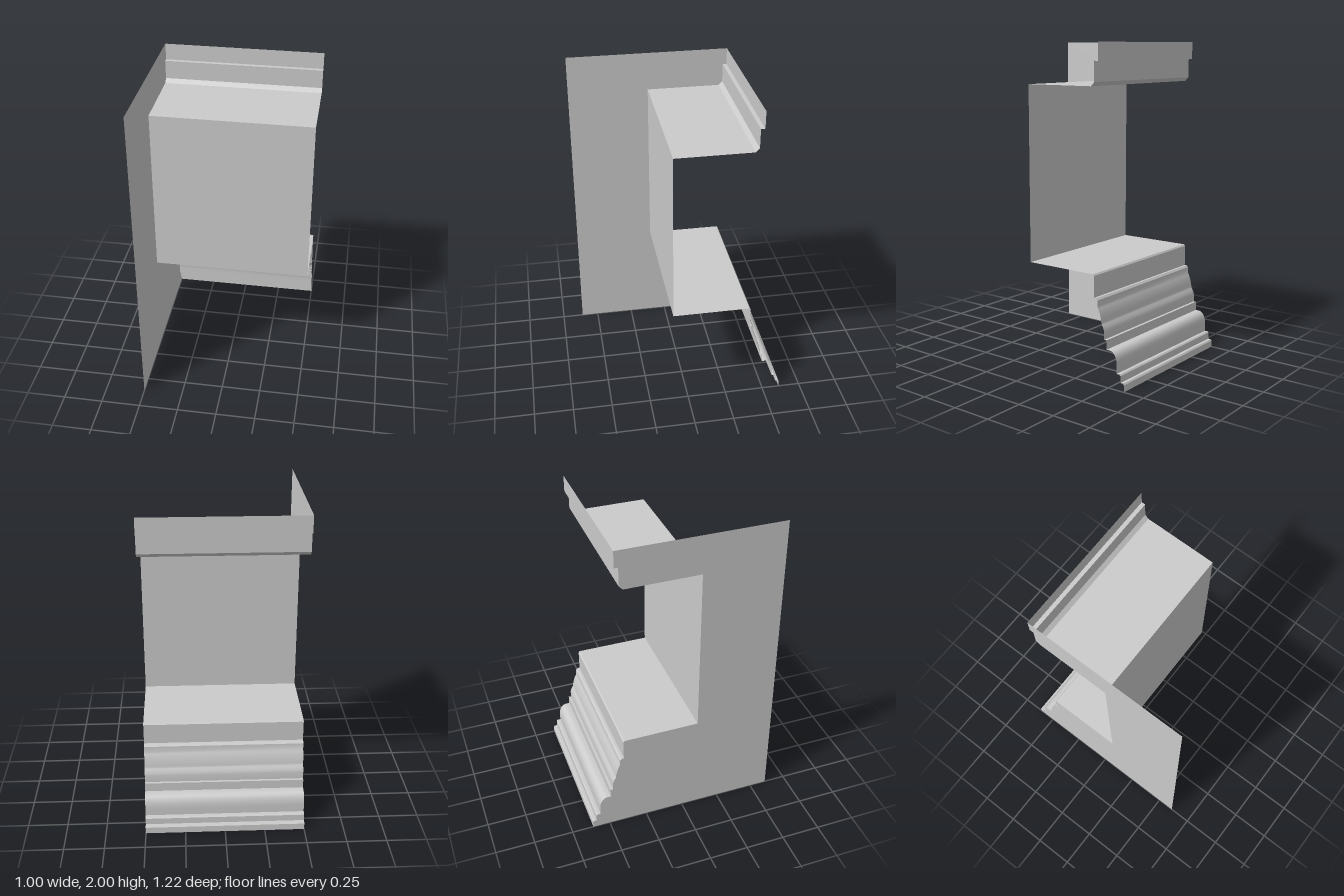
import * as THREE from 'three';
import { toCreasedNormals } from 'three/addons/utils/BufferGeometryUtils.js';

const HALF_WIDTH = 0.5;
const FRONT = 0.612;

// Sweep a (z, y) profile, listed top to bottom, straight across the width
function sweep(points) {
  const pos = [];
  for (let i = 0; i < points.length - 1; i++) {
    const p = points[i], q = points[i + 1];
    const a = [-HALF_WIDTH, p.y, p.x], b = [HALF_WIDTH, p.y, p.x];
    const c = [HALF_WIDTH, q.y, q.x], d = [-HALF_WIDTH, q.y, q.x];
    pos.push(...a, ...b, ...c, ...a, ...c, ...d);
  }
  const geo = new THREE.BufferGeometry();
  geo.setAttribute('position', new THREE.Float32BufferAttribute(pos, 3));
  return toCreasedNormals(geo, 0.5);
}

function lines(path, ...pts) {
  for (const [z, y] of pts) path.lineTo(z, y);
}

export function createModel() {
  const group = new THREE.Group();
  const material = new THREE.MeshStandardMaterial({ color: 0xcccccc, side: THREE.DoubleSide });
  const add = (name, geo) => {
    const mesh = new THREE.Mesh(geo, material);
    mesh.name = name;
    group.add(mesh);
    return mesh;
  };

  // Crown: stepped band with a chamfered lower edge
  const crown = new THREE.Path();
  crown.moveTo(-0.42, 2);
  lines(crown, [-0.42, 1.895], [-0.395, 1.895], [-0.395, 1.777], [-0.372, 1.753]);

  // Niche: ceiling, recessed wall and shelf
  const niche = new THREE.Path();
  niche.moveTo(-0.372, 1.753);
  lines(niche, [0.097, 1.753], [0.097, 0.668], [-0.385, 0.668]);

  // Base: fillets, double curve, large ovolo and two plinth steps
  const base = new THREE.Path();
  base.moveTo(-0.385, 0.668);
  lines(base, [-0.393, 0.658], [-0.393, 0.527], [-0.408, 0.527], [-0.418, 0.515], [-0.42, 0.478]);
  base.quadraticCurveTo(-0.443, 0.435, -0.449, 0.38);
  base.bezierCurveTo(-0.458, 0.365, -0.468, 0.35, -0.469, 0.33);
  lines(base, [-0.469, 0.288], [-0.486, 0.288], [-0.486, 0.231], [-0.505, 0.231]);
  base.bezierCurveTo(-0.54, 0.231, -0.56, 0.2, -0.56, 0.145);
  lines(base, [-0.56, 0.1], [-0.58, 0.1], [-0.587, 0.092], [-0.587, 0.051],
    [-0.605, 0.051], [-0.612, 0.042], [-0.612, 0]);

  const parts = { crownMoulding: crown, niche, baseMoulding: base };
  const outline = [];
  for (const [name, path] of Object.entries(parts)) {
    const points = path.getPoints(10);
    add(name, sweep(points));
    outline.push(...(outline.length ? points.slice(1) : points));
  }

  // Flat end panel closing one side, cut to the whole profile
  outline.push(new THREE.Vector2(FRONT, 0), new THREE.Vector2(FRONT, 2));
  const panel = add('endPanel', new THREE.ShapeGeometry(new THREE.Shape(outline)));
  panel.rotation.y = -Math.PI / 2;
  panel.position.x = -HALF_WIDTH;

  return group;
}
